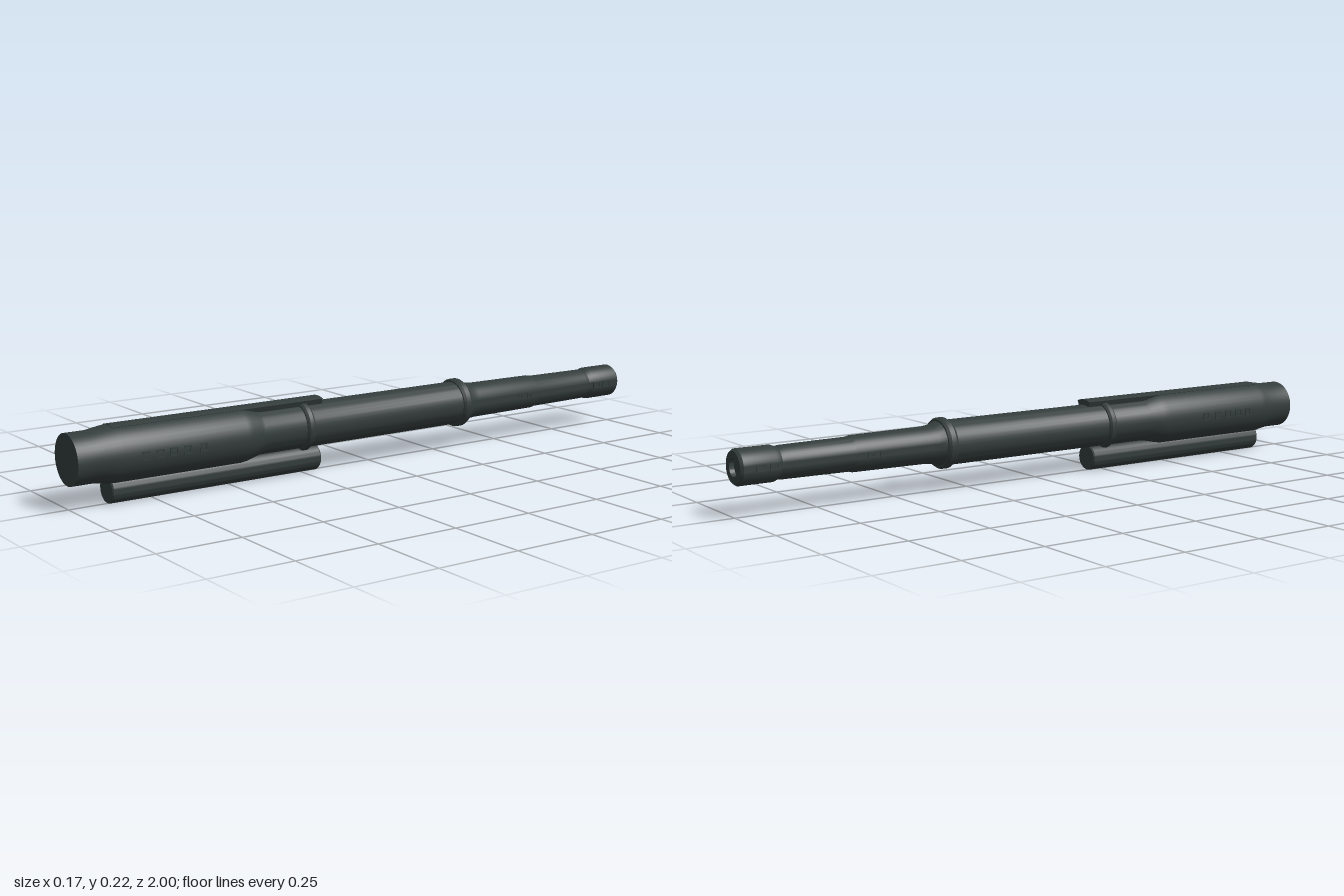
import * as THREE from 'three';
import { toCreasedNormals } from 'three/addons/utils/BufferGeometryUtils.js';

const AXIS_Y = 0.142;

export function createModel() {
  const model = new THREE.Group();
  const metal = new THREE.MeshStandardMaterial({ color: 0x343d3c });
  metal.name = 'dark gunmetal';

  const add = (name, geometry, x = 0, y = 0, z = 0) => {
    const mesh = new THREE.Mesh(geometry, metal);
    mesh.name = name;
    mesh.position.set(x, y, z);
    model.add(mesh);
    return mesh;
  };

  // Turned part along z; profile points are [radius, z] from back to front
  const turned = (name, profile, y) => {
    const g = new THREE.LatheGeometry(profile.map(([r, z]) => new THREE.Vector2(r, z)), 40);
    g.rotateX(Math.PI / 2);
    return add(name, toCreasedNormals(g, 0.45), 0, y);
  };

  // Slim barrel with a recessed muzzle
  turned('barrel', [
    [0, -0.985], [0.026, -0.985], [0.026, -1], [0.046, -1], [0.052, -0.992],
    [0.052, -0.89], [0.046, -0.873], [0.048, -0.86], [0.05, -0.65], [0.053, -0.64],
    [0.055, -0.4], [0.058, -0.375], [0.067, -0.35], [0, -0.35],
  ], AXIS_Y);

  // Main tube swelling into the front housing
  turned('body', [
    [0, -0.35], [0.067, -0.35], [0.067, 0.4], [0.07, 0.415], [0.08, 0.45], [0.083, 0.47],
    [0.083, 0.87], [0.081, 0.89], [0.074, 0.935], [0.074, 1], [0, 1],
  ], AXIS_Y);

  // Raised collars
  for (const [name, z, w] of [['rearCollar', -0.337, 0.016], ['middleCollar', 0.25, 0.013]]) {
    turned(name, [
      [0.064, z - w], [0.071, z - w], [0.076, z - w * 0.5],
      [0.076, z + w * 0.5], [0.071, z + w], [0.064, z + w],
    ], AXIS_Y);
  }

  // Side tube slung under the housing
  turned('lowerTube', [
    [0, 0.197], [0.037, 0.197], [0.04, 0.201], [0.04, 0.881], [0.037, 0.885], [0, 0.885],
  ], 0.042);

  // Curved top rail
  const half = 0.37;
  const rail = new THREE.Shape();
  rail.absarc(0, 0, 0.084, Math.PI / 2 - half, Math.PI / 2 + half, false);
  rail.absarc(0, 0, 0.05, Math.PI / 2 + half, Math.PI / 2 - half, true);
  add('topRail', toCreasedNormals(new THREE.ExtrudeGeometry(rail, {
    depth: 0.69, bevelEnabled: false, curveSegments: 10,
  }), 0.45), 0, AXIS_Y, 0.185);

  // Small rectangular port frames, mirrored on both sides
  const portFrame = (w, h) => {
    const shape = new THREE.Shape();
    shape.moveTo(-w, -h).lineTo(w, -h).lineTo(w, h).lineTo(-w, h).closePath();
    const hole = new THREE.Path();
    const a = w - 0.004, b = h - 0.004;
    hole.moveTo(-a, -b).lineTo(-a, b).lineTo(a, b).lineTo(a, -b).closePath();
    shape.holes.push(hole);
    return new THREE.ExtrudeGeometry(shape, { depth: 0.004, bevelEnabled: false });
  };
  const ports = [
    ...[0.8, 0.757, 0.714, 0.671, 0.62].map((z) => ['housingPort', z, 0.0805, 0.012, 0.012]),
    ...[-0.565, -0.602].map((z) => ['barrelPort', z, 0.0515, 0.009, 0.008]),
    ...[-0.9, -0.942].map((z) => ['muzzlePort', z, 0.05, 0.015, 0.01]),
  ];
  for (const [name, z, r, w, h] of ports) {
    for (const side of [-1, 1]) {
      add(name, portFrame(w, h), side * r, AXIS_Y, z).rotation.y = side * Math.PI / 2;
    }
  }
  return model;
}
